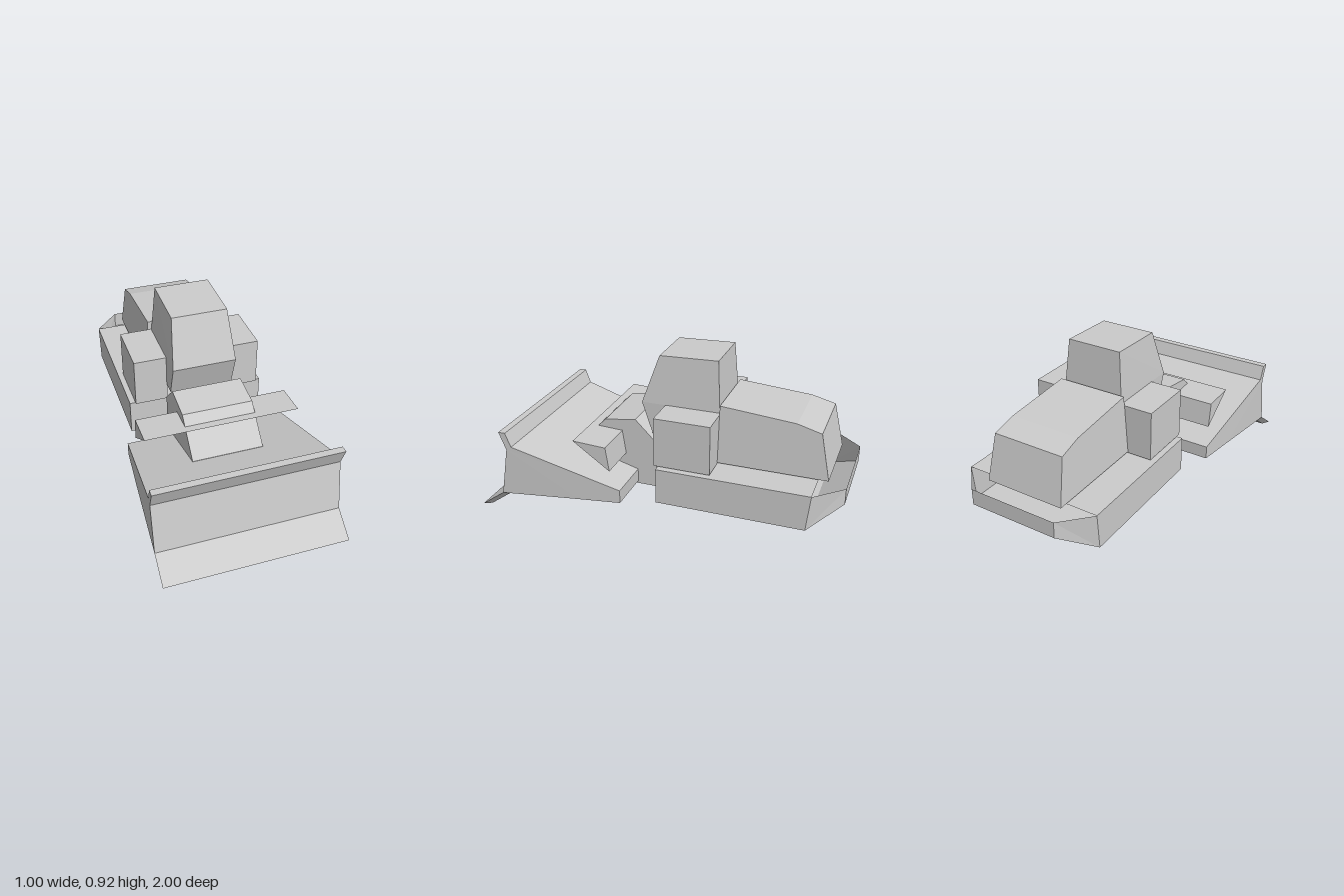
import * as THREE from 'three';

const material = new THREE.MeshStandardMaterial({ color: 0xcccccc, flatShading: true, side: THREE.DoubleSide });

// Solid spanning x from -h to +h; outline points are [z, y, h],
// ordered along the bottom towards the rear, then back along the top.
// Edges listed in `open` get no face.
function loft(name, pts, open = []) {
  const pos = [];
  const at = (i, s) => [s * pts[i][2], pts[i][1], pts[i][0]];
  const tri = (a, b, c) => pos.push(...a, ...b, ...c);
  const outline = pts.map(([z, y]) => new THREE.Vector2(-z, y));
  for (const [a, b, c] of THREE.ShapeUtils.triangulateShape(outline, [])) {
    tri(at(a, 1), at(b, 1), at(c, 1));
    tri(at(c, -1), at(b, -1), at(a, -1));
  }
  pts.forEach((_, i) => {
    if (open.includes(i)) return;
    const j = (i + 1) % pts.length;
    tri(at(i, 1), at(i, -1), at(j, -1));
    tri(at(i, 1), at(j, -1), at(j, 1));
  });
  const geo = new THREE.BufferGeometry();
  geo.setAttribute('position', new THREE.Float32BufferAttribute(pos, 3));
  geo.computeVertexNormals();
  const mesh = new THREE.Mesh(geo, material);
  mesh.name = name;
  return mesh;
}

export function createModel() {
  const model = new THREE.Group();
  model.name = 'bulldozer';

  // Rear chassis and its chamfered tail, which is open on top
  model.add(loft('chassis', [
    [-0.02, 0.16, 0.39], [-0.83, 0.16, 0.39], [-0.85, 0.36, 0.39], [-0.02, 0.36, 0.39],
  ], [1]));
  model.add(loft('chassisTail', [
    [-0.83, 0.16, 0.39], [-1, 0.27, 0.25], [-1, 0.36, 0.25], [-0.85, 0.36, 0.39],
  ], [2, 3]));

  // Engine hood, slightly narrower at the top
  const hoodOutline = [[-0.31, 0.37], [-0.905, 0.37], [-0.85, 0.62], [-0.72, 0.655], [-0.31, 0.69]];
  model.add(loft('engineHood', hoodOutline.map(([z, y]) => [z, y, 0.222 - (y - 0.37) * 0.08])));

  // Cab: straight lower part, tapered upper part
  model.add(loft('cabLower', [
    [0.075, 0.46, 0.178], [-0.305, 0.46, 0.178], [-0.305, 0.64, 0.178], [0.135, 0.64, 0.178],
  ]));
  model.add(loft('cabUpper', [
    [0.135, 0.64, 0.178], [-0.305, 0.64, 0.178], [-0.285, 0.92, 0.155], [0.04, 0.91, 0.155],
  ]));

  // Boxes on both sides of the cab
  for (const s of [-1, 1]) {
    const box = new THREE.Mesh(new THREE.BoxGeometry(0.185, 0.275, 0.31), material);
    box.position.set(s * 0.2675, 0.5025, -0.155);
    box.name = s > 0 ? 'sideBoxLeft' : 'sideBoxRight';
    model.add(box);
  }

  // Central front housing with the wedge-shaped crossbar through it
  model.add(loft('frontHousing', [
    [0.52, 0.14], [0.05, 0.14], [0.05, 0.415], [0.17, 0.535], [0.35, 0.51], [0.525, 0.335],
  ].map(([z, y]) => [z, y, 0.195])));
  model.add(loft('crossbar', [
    [0.44, 0.467, 0.425], [0.23, 0.32, 0.425], [0.25, 0.457, 0.425],
  ]));

  // Blade body widening forwards, with a raised lip on top
  const bladeOutline = [
    [0.86, 0.105], [0.4, 0.14], [0.16, 0.155], [0.16, 0.23],
    [0.78, 0.405], [0.81, 0.485], [0.85, 0.485], [0.81, 0.385],
  ];
  model.add(loft('blade', bladeOutline.map(([z, y]) => [z, y, Math.min(0.5, 0.455 + (z - 0.16) * 0.07)])));

  // Cutting edge sloping down to the ground
  model.add(loft('cuttingEdge', [
    [1, 0.005, 0.5], [0.96, 0, 0.47], [0.82, 0.1, 0.47], [0.86, 0.105, 0.5],
  ]));

  return model;
}
